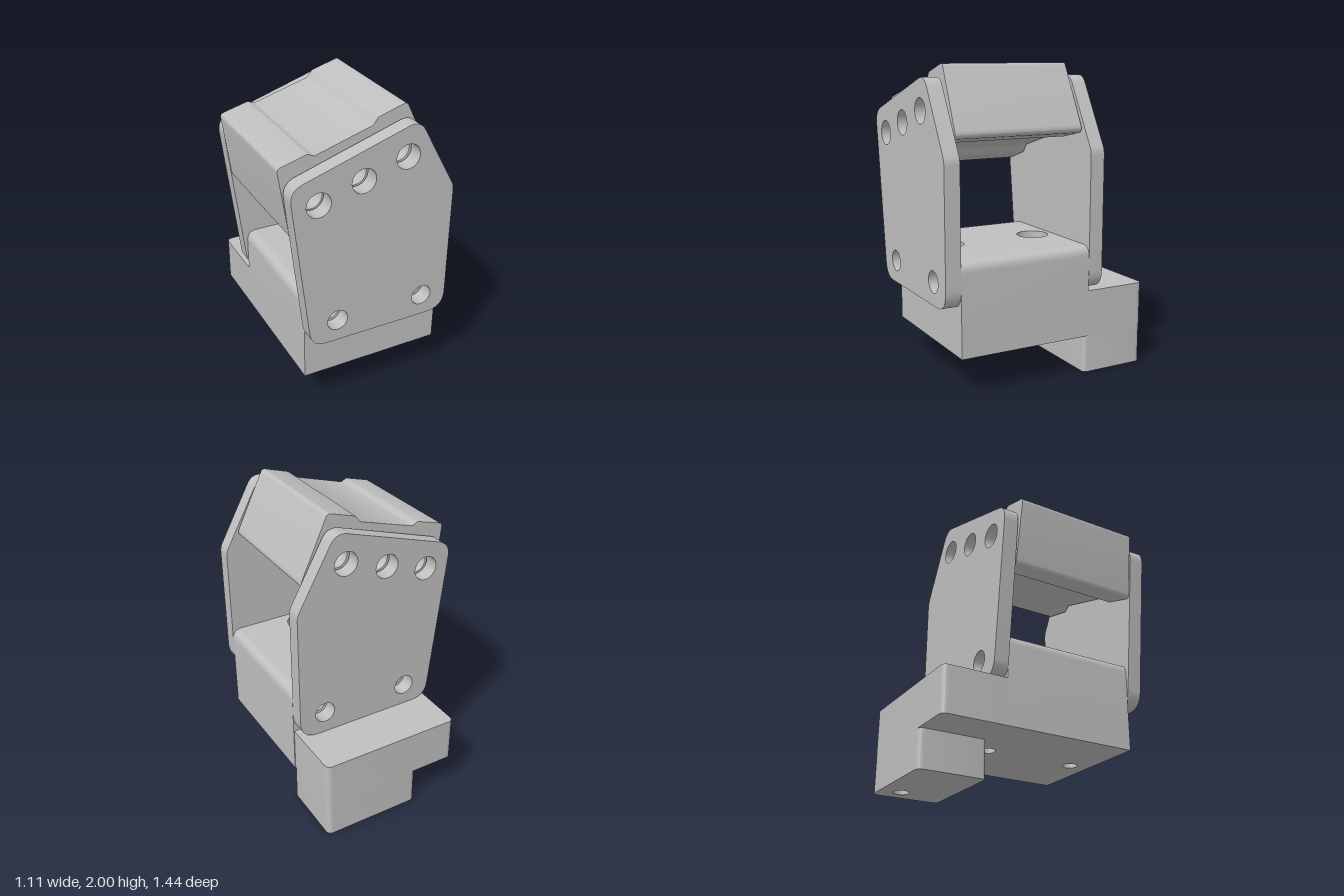
import * as THREE from 'three';
import { toCreasedNormals } from 'three/addons/utils/BufferGeometryUtils.js';

const metal = new THREE.MeshStandardMaterial({ color: 0xbfbfbf });
metal.name = 'grey metal';

// Closed outline from corners [x, y, radius], with optional holes [x, y, radius]
function outline(corners, holes = []) {
  const shape = new THREE.Shape();
  const n = corners.length;
  corners.forEach(([x, y, r = 0], i) => {
    const p = new THREE.Vector2(x, y);
    const [ax, ay] = corners[(i + n - 1) % n];
    const [bx, by] = corners[(i + 1) % n];
    const a = new THREE.Vector2(ax, ay).sub(p).normalize();
    const b = new THREE.Vector2(bx, by).sub(p).normalize();
    const t = r / Math.tan(Math.acos(a.dot(b)) / 2);
    const s = a.multiplyScalar(t).add(p);
    const e = b.multiplyScalar(t).add(p);
    if (i === 0) shape.moveTo(s.x, s.y);
    else shape.lineTo(s.x, s.y);
    if (r > 0) shape.quadraticCurveTo(x, y, e.x, e.y);
  });
  shape.closePath();
  for (const [x, y, r] of holes) {
    const hole = new THREE.Path();
    hole.absarc(x, y, r, 0, Math.PI * 2, true);
    shape.holes.push(hole);
  }
  return shape;
}

const extrude = (shape, depth) =>
  new THREE.ExtrudeGeometry(shape, { depth, bevelEnabled: false, curveSegments: 14 });

function addPart(group, name, geometry) {
  const mesh = new THREE.Mesh(toCreasedNormals(geometry, 0.5), metal);
  mesh.name = name;
  group.add(mesh);
}

// Front-facing outline swept from z0 to z1
function alongZ(shape, z0, z1) {
  return extrude(shape, z1 - z0).translate(0, 0, z0);
}

// Plan outline, drawn as (x, -z), swept from y0 to y1
function alongY(shape, y0, y1) {
  return extrude(shape, y1 - y0).rotateX(-Math.PI / 2).translate(0, y0, 0);
}

function rect(x0, x1, y0, y1, r = [0, 0, 0, 0]) {
  return [[x0, y0, r[0]], [x1, y0, r[1]], [x1, y1, r[2]], [x0, y1, r[3]]];
}

export function createModel() {
  const model = new THREE.Group();
  model.name = 'bracketAssembly';

  const upperHoles = [[-0.36, 1.545], [-0.07, 1.633], [0.22, 1.724]];
  const lowerHoles = [[-0.23, 0.705], [0.375, 0.705]];
  const withRadius = (list, r) => list.map(([x, y]) => [x, y, r]);

  // Two side plates
  const plate = outline(
    [[-0.41, 0.555, 0.12], [0.555, 0.555, 0.13], [0.555, 1.46, 0.12],
      [0.288, 1.941, 0.1], [-0.543, 1.675, 0.11]],
    [...withRadius(upperHoles, 0.08), ...withRadius(lowerHoles, 0.07)]);
  addPart(model, 'frontPlate', alongZ(plate, 0.618, 0.72));
  addPart(model, 'backPlate', alongZ(plate, -0.39, -0.29));

  // Tilted block with a shallow channel along top and underside, narrowing upward
  const block = outline(
    [[-0.495, 1.3, 0.03], [-0.28, 1.37, 0.02], [-0.24, 1.425, 0.02], [0.2, 1.555, 0.02],
      [0.25, 1.525, 0.02], [0.478, 1.575, 0.04], [0.272, 2.008, 0.03], [0.08, 1.95, 0.02],
      [0.048, 1.907, 0.02], [-0.33, 1.795, 0.02], [-0.37, 1.815, 0.02], [-0.562, 1.762, 0.03]],
    withRadius(upperHoles, 0.077));
  const blockGeometry = alongZ(block, -0.283, 0.613);
  const pos = blockGeometry.attributes.position;
  const middle = 0.165;
  for (let i = 0; i < pos.count; i++) {
    const taper = 1 - 0.06 * Math.max(0, pos.getY(i) - 1.3);
    pos.setZ(i, middle + (pos.getZ(i) - middle) * taper);
  }
  addPart(model, 'topBlock', blockGeometry);

  // Base: outer thirds carry the cross holes, the middle carries the counterbored upright holes
  const zBack = -0.288, zFront = 0.618;
  addPart(model, 'baseLeftThird', alongZ(
    outline(rect(0.24, 0.555, 0.25, 0.85, [0, 0, 0.07, 0]), [[...lowerHoles[1], 0.052]]), zBack, zFront));
  addPart(model, 'baseRightThird', alongZ(
    outline(rect(-0.41, -0.1, 0.25, 0.85, [0, 0, 0, 0.07]), [[...lowerHoles[0], 0.052]]), zBack, zFront));
  const uprightHoles = (r) => [[0.07, -0.48, r], [0.07, 0.15, r]];
  const middlePlan = rect(-0.1, 0.24, -zFront, -zBack);
  addPart(model, 'baseMiddleLower', alongY(outline(middlePlan, uprightHoles(0.05)), 0.25, 0.6));
  addPart(model, 'baseMiddleUpper', alongY(outline(middlePlan, uprightHoles(0.105)), 0.6, 0.85));

  // Rear ledge and the stepped foot below it, with a blind hole underneath
  addPart(model, 'rearLedge', alongY(
    outline(rect(-0.41, 0.55, 0.288, 0.72, [0, 0, 0.04, 0.04])), 0.25, 0.553));
  addPart(model, 'foot', alongY(
    outline(rect(-0.12, 0.547, 0.268, 0.72, [0.03, 0.03, 0.04, 0.04]), [[0.42, 0.58, 0.052]]), 0, 0.25));

  return model;
}
